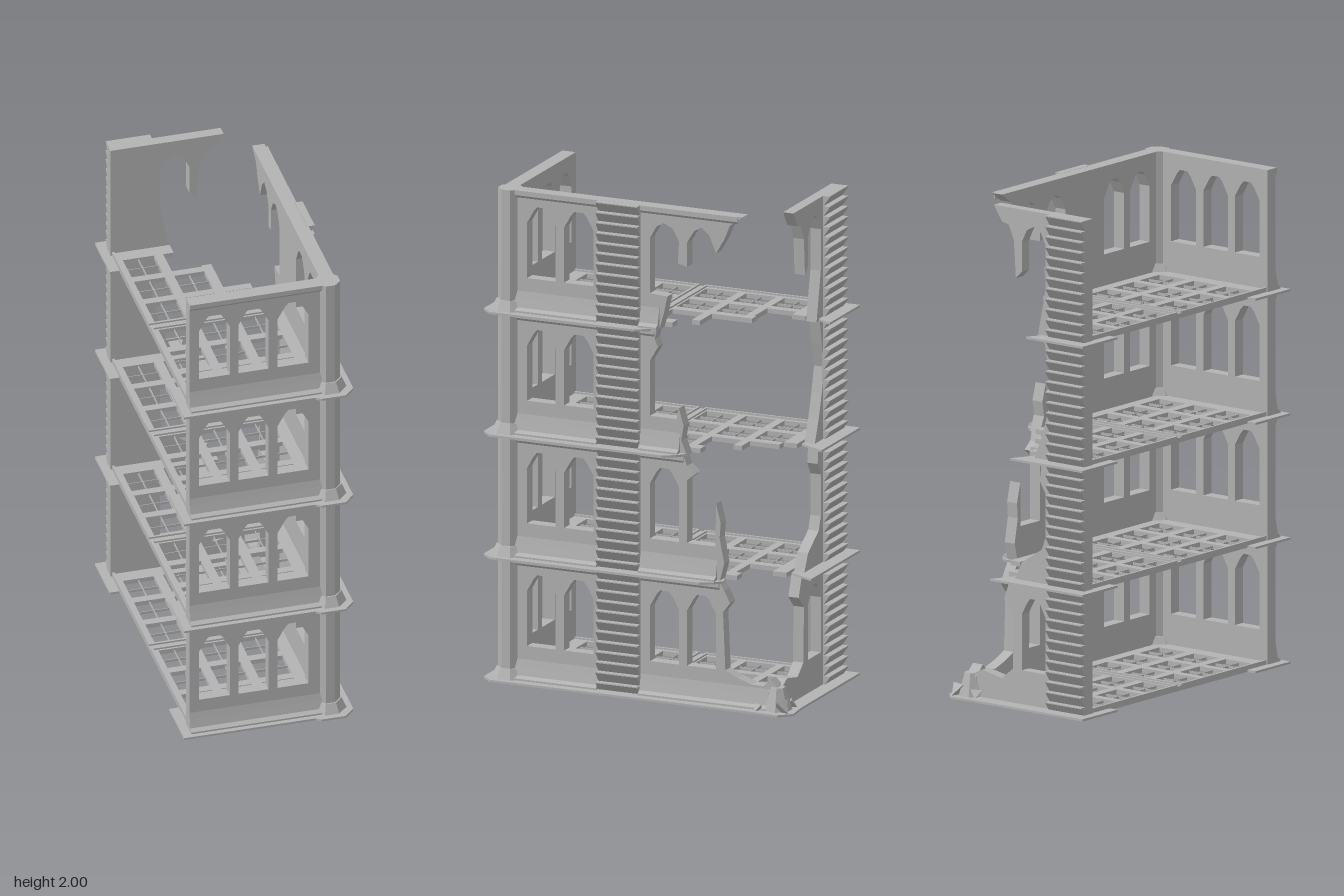
import * as THREE from 'three';

const stone = new THREE.MeshStandardMaterial({ color: 0xb2b2b2, flatShading: true });
stone.name = 'grey stone';
const H = 0.5; // storey height

function add(group, name, geo, x = 0, y = 0, z = 0) {
  const m = new THREE.Mesh(geo, stone);
  m.name = name;
  m.position.set(x, y, z);
  group.add(m);
  return m;
}
const toShape = pts => new THREE.Shape(pts.map(p => new THREE.Vector2(p[0], p[1])));
const box = (g, name, x0, x1, y0, y1, z0, z1) =>
  add(g, name, new THREE.BoxGeometry(x1 - x0, y1 - y0, z1 - z0), (x0 + x1) / 2, (y0 + y1) / 2, (z0 + z1) / 2);

// arched window outline between a and b
function windowPts(a, b) {
  const c = (a + b) / 2, r = (b - a) / 2;
  return [[a, 0.145], [b, 0.145], [b, 0.37], [c + r * 0.55, 0.42], [c + r * 0.3, 0.438],
    [c - r * 0.3, 0.438], [c - r * 0.55, 0.42], [a, 0.37]];
}
function wallGeo(outline, windows, depth) {
  const s = toShape(outline);
  for (const [a, b] of windows) s.holes.push(toShape(windowPts(a, b)));
  return new THREE.ExtrudeGeometry(s, { depth, bevelEnabled: false });
}
// horizontal plate from [x, z] points
function plateGeo(pts, h) {
  const g = new THREE.ExtrudeGeometry(toShape(pts.map(([x, z]) => [x, -z])), { depth: h, bevelEnabled: false });
  return g.rotateX(-Math.PI / 2);
}
// profile [outward, y] run along a wall; turn: 0 right wall, -1 front wall, 1 back wall
function runGeo(profile, length, turn) {
  const g = new THREE.ExtrudeGeometry(toShape(profile), { depth: length, bevelEnabled: false });
  return g.rotateY(turn * Math.PI / 2);
}

// broken outlines of the right wall behind its pilaster, as [-z, y]
const rightRuin = [
  { pts: [[0, 0], [0.6, 0], [0.6, 0.09], [0.56, 0.13], [0.53, 0.1], [0.48, 0.1], [0.42, 0.12], [0.365, 0.145],
    [0.355, 0.38], [0.385, 0.42], [0.36, 0.47], [0.34, 0.5], [0, 0.5]], win: [[0.04, 0.165], [0.2, 0.325]] },
  { pts: [[0, 0], [0.34, 0], [0.36, 0.08], [0.34, 0.18], [0.345, 0.24], [0.325, 0.32], [0.322, 0.145],
    [0.2, 0.145], [0.2, 0.4], [0.235, 0.43], [0.2, 0.46], [0.185, 0.5], [0, 0.5]], win: [[0.04, 0.165]] },
  { pts: [[0, 0], [0.2, 0], [0.175, 0.06], [0.185, 0.12], [0.165, 0.19], [0.155, 0.145], [0.04, 0.145],
    [0.04, 0.37], [0.075, 0.43], [0.06, 0.46], [0.07, 0.5], [0, 0.5]], win: [] },
  { pts: [[0, 0], [0.08, 0], [0.1, 0.07], [0.115, 0.14], [0.04, 0.145], [0.04, 0.37], [0.068, 0.42], [0.1, 0.438],
    [0.137, 0.42], [0.165, 0.37], [0.16, 0.28], [0.2, 0.27], [0.2, 0.37], [0.23, 0.42], [0.262, 0.438],
    [0.295, 0.41], [0.325, 0.34], [0.36, 0.4], [0.385, 0.46], [0.44, 0.5], [0, 0.5]], win: [] },
];
// broken outlines of the back wall, as [x, y]
const backRuin = [
  { pts: [[-0.32, 0], [0.28, 0], [0.28, 0.08], [0.2, 0.12], [0.1, 0.1], [0.045, 0.145], [0.04, 0.37],
    [0.09, 0.42], [0.06, 0.5], [-0.32, 0.5]], win: [[-0.12, 0]] },
  { pts: [[-0.32, 0], [0.04, 0], [0, 0.08], [-0.1, 0.145], [-0.12, 0.2], [-0.12, 0.37], [-0.09, 0.42],
    [-0.1, 0.5], [-0.32, 0.5]], win: [] },
  { pts: [[-0.32, 0], [-0.06, 0], [-0.1, 0.1], [-0.13, 0.2], [-0.155, 0.3], [-0.13, 0.4], [-0.11, 0.5],
    [-0.32, 0.5]], win: [] },
  { pts: [[-0.32, 0], [-0.08, 0], [-0.1, 0.1], [-0.12, 0.2], [-0.12, 0.37], [-0.095, 0.42], [-0.06, 0.438],
    [-0.025, 0.42], [0, 0.37], [0, 0.25], [0.03, 0.22], [0.04, 0.37], [0.065, 0.43], [0.1, 0.438],
    [0.14, 0.5], [-0.32, 0.5]], win: [] },
];
// where each floor is broken: z at the right wall, x at the back wall
const breaks = [[-0.55, 0.22], [-0.36, 0.08], [-0.2, -0.02], [-0.08, -0.1]];

function makeFloor(i) {
  const g = new THREE.Group();
  g.name = 'gridFloor';
  const [zr, xb] = breaks[i];
  const limX = z => (i === 0 || z >= zr ? 0.22 : 0.22 + (zr - z) / (zr + 0.55) * (xb - 0.22));
  const limZ = x => (i === 0 || x <= xb ? -0.55 : -0.55 + (x - xb) / (0.22 - xb) * (zr + 0.55));
  const xs = [[-0.315, -0.287], [-0.16, -0.123], [0, 0.04], [0.173, 0.222]];
  const zs = [[-0.55, -0.492], [-0.365, -0.33], [-0.2, -0.165], [-0.03, 0.03], [0.16, 0.195], [0.325, 0.36], [0.488, 0.55]];
  for (const [a, b] of xs) box(g, 'floorBeam', a, b, 0.001, 0.02, limZ((a + b) / 2), 0.55);
  for (const [a, b] of zs) box(g, 'floorCrossBeam', -0.315, limX((a + b) / 2), 0.001, 0.02, a, b);
  // raised rims around the two panels
  for (const [a, b] of [[-0.55, -0.012], [0.012, 0.55]]) {
    box(g, 'panelRim', -0.315, -0.305, 0.02, 0.027, a, b);
    box(g, 'panelRim', -0.315, limX(0), 0.02, 0.027, Math.abs(a) < 0.1 ? a : b - 0.01, Math.abs(a) < 0.1 ? a + 0.01 : b);
  }
  // thin crosses in the openings
  for (let m = 0; m < 3; m++) for (let n = 0; n < 6; n++) {
    const x0 = xs[m][1], x1 = xs[m + 1][0], z0 = zs[n][1], z1 = zs[n + 1][0];
    if (x1 > limX(z0)) continue;
    const cx = (x0 + x1) / 2, cz = (z0 + z1) / 2;
    box(g, 'openingBar', x0, x1, 0.004, 0.014, cz - 0.0015, cz + 0.0015);
    box(g, 'openingBar', cx - 0.0015, cx + 0.0015, 0.004, 0.014, z0, z1);
  }
  return g;
}

function makeLedge(i) {
  const g = new THREE.Group();
  g.name = 'ledge';
  const e = i === 0 ? -0.62 : breaks[i][0];
  const x = i === 0 ? 0.28 : breaks[i][1];
  add(g, 'frontAndRightLedge', plateGeo([[-0.355, 0.43], [-0.355, 0.65], [0.18, 0.65], [0.2, 0.665], [0.3, 0.665],
    [0.342, 0.62], [0.34, e + 0.08], [0.31, e + 0.03], [0.28, e], [0.22, e + 0.02], [0.22, 0.54], [-0.315, 0.54], [-0.315, 0.43]], 0.009));
  add(g, 'backLedge', plateGeo([[-0.355, -0.44], [-0.315, -0.44], [-0.315, -0.54], [x - 0.03, -0.54], [x, -0.6],
    [x + 0.03, -0.66], [-0.355, -0.66]], 0.009));
  if (i === 0) add(g, 'cornerLedge', plateGeo([[0.2, -0.54], [0.34, -0.5], [0.345, -0.62], [0.3, -0.67], [0.2, -0.66]], 0.009));
  return g;
}

// overlapping boards that jut out at their top edge
function boards(g, name, turn, length, x, z) {
  const n = 12, h = H / n;
  for (let k = 0; k < n; k++)
    add(g, name, runGeo([[0, 0], [0.005, 0], [0.031, h - 0.004], [0.031, h], [0, h]], length, turn), x, k * h, z);
}

function makeStorey(i) {
  const g = new THREE.Group();
  g.name = 'storey' + (i + 1);
  g.add(makeFloor(i), makeLedge(i));

  // walls
  const rect = (a, b) => [[a, 0], [b, 0], [b, H], [a, H]];
  add(g, 'frontWall', wallGeo(rect(-0.32, 0.25), [[-0.28, -0.155], [-0.12, 0.003], [0.04, 0.165]], 0.05), 0, 0, 0.55);
  const right = (outline, windows, name) =>
    add(g, name, wallGeo(outline, windows, 0.05).rotateY(Math.PI / 2), 0.225, 0, 0);
  right(rect(-0.57, 0), [[-0.49, -0.367], [-0.33, -0.203]], 'rightWall');
  right(rightRuin[i].pts, rightRuin[i].win, 'brokenRightWall');
  add(g, 'brokenBackWall', wallGeo(backRuin[i].pts, backRuin[i].win, 0.045), 0, 0, -0.597);

  // flared footing and top trim
  const foot = [[0, 0], [0.03, 0], [0.03, 0.016], [0.014, 0.026], [0.006, 0.06], [0, 0.09]];
  const trim = [[0, 0.47], [0.008, 0.48], [0.008, H], [0, H]];
  const rear = [0.58, 0.33, 0.17, 0.08][i];
  for (const [name, p] of [['wallFooting', foot], ['wallTrim', trim]]) {
    add(g, name, runGeo(p, 0.57, -1), 0.25, 0, 0.6);
    add(g, name, runGeo(p, 0.39, 0), 0.275, 0, 0.18);
  }
  add(g, 'wallFooting', runGeo(foot, rear, 0), 0.275, 0, -rear);
  const topRear = [0.34, 0.185, 0.06, 0.42][i];
  add(g, 'wallTrim', runGeo(trim, topRear, 0), 0.275, 0, -topRear);

  // boarded pilasters
  boards(g, 'rightPilasterBoard', 0, 0.18, 0.277, 0);
  boards(g, 'backPilasterBoard', 1, 0.18, -0.32, -0.594);

  // corner column with a wider foot
  const col = (name, r0, r1, h) => add(g, name, new THREE.CylinderGeometry(r1, r0, h, 8).rotateY(Math.PI / 8), 0.25, h / 2, 0.572);
  col('cornerColumn', 0.05, 0.05, H);
  col('columnFoot', 0.08, 0.055, 0.05);
  return g;
}

export function createModel() {
  const model = new THREE.Group();
  model.name = 'ruinedBuilding';
  for (let i = 0; i < 4; i++) {
    const s = makeStorey(i);
    s.position.y = i * H;
    model.add(s);
  }
  // broken stub and rubble at the collapsed corner
  add(model, 'cornerStub', new THREE.CylinderGeometry(0.03, 0.06, 0.1, 7), 0.26, 0.05, -0.585);
  for (const [x, z, r, a] of [[0.3, -0.62, 0.04, 0.5], [0.21, -0.62, 0.03, 1.2], [0.31, -0.52, 0.025, 2]]) {
    const m = add(model, 'rubble', new THREE.TetrahedronGeometry(r), x, r * 0.8, z);
    m.rotation.y = a;
  }
  return model;
}
